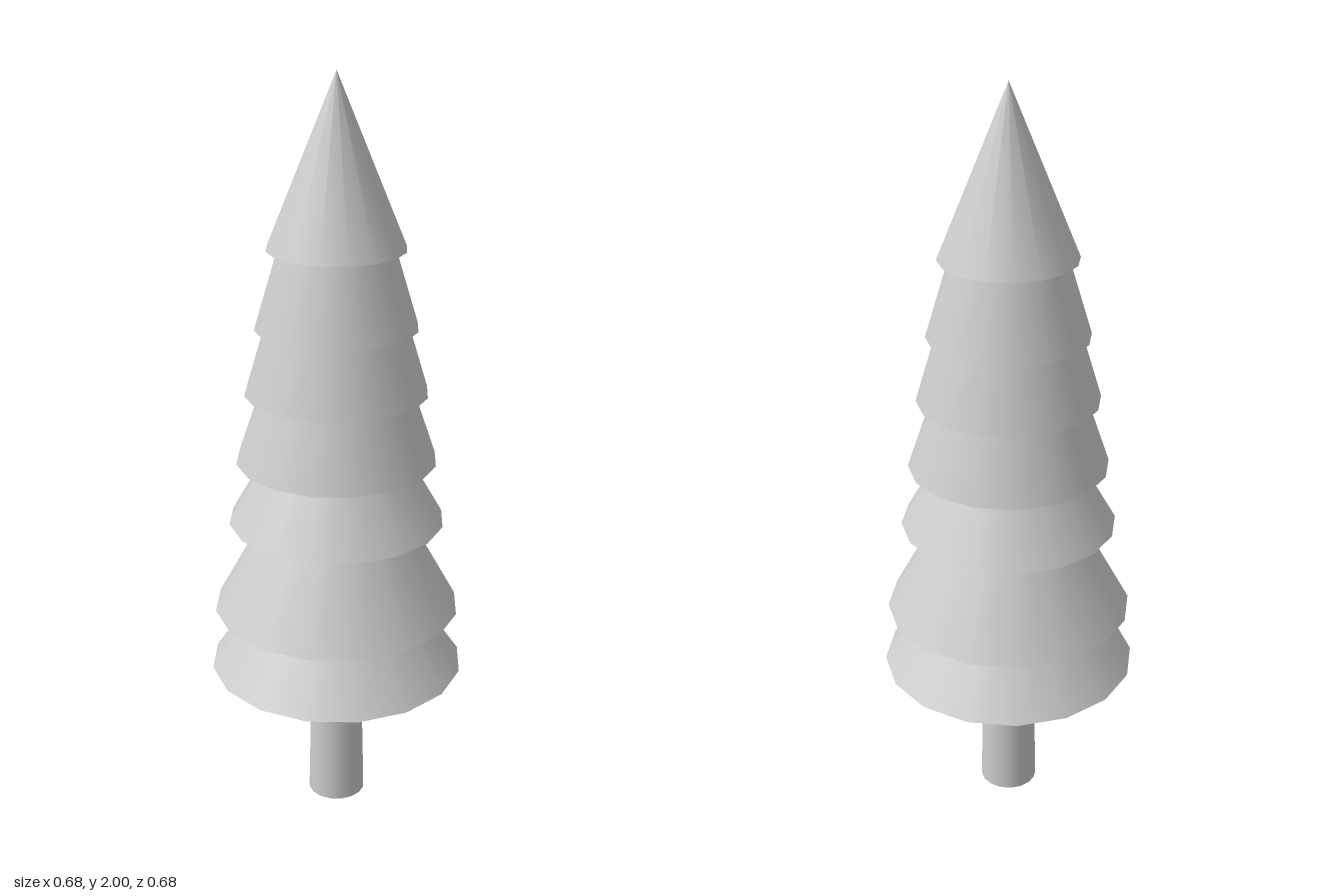
import * as THREE from 'three';

const SIDES = 16;

export function createModel() {
  const tree = new THREE.Group();
  tree.name = 'pineTree';

  const grey = new THREE.MeshStandardMaterial({ color: 0xcccccc });
  grey.name = 'plain grey';

  // Tapered round section standing between two heights
  const section = (name, y0, y1, bottom, top) => {
    const geometry = top > 0
      ? new THREE.CylinderGeometry(top, bottom, y1 - y0, SIDES)
      : new THREE.ConeGeometry(bottom, y1 - y0, SIDES);
    const mesh = new THREE.Mesh(geometry, grey);
    mesh.name = name;
    mesh.position.y = (y0 + y1) / 2;
    tree.add(mesh);
  };

  // Trunk with a slight taper, its top just inside the lowest tier
  section('trunk', 0, 0.44, 0.078, 0.068);

  // Skirts of foliage: [bottom height, bottom radius, top radius]
  const tiers = [
    [0.413, 0.341, 0.222],
    [0.585, 0.328, 0.19],
    [0.837, 0.285, 0.188],
    [1.007, 0.263, 0.2],
    [1.192, 0.238, 0.186],
    [1.365, 0.21, 0.149],
    [1.567, 0.178, 0],
  ];
  tiers.forEach(([y, bottom, top], i) => {
    const next = i + 1 < tiers.length ? tiers[i + 1][0] : 2;
    section(i + 1 < tiers.length ? `foliageTier${i + 1}` : 'treeTop', y, next, bottom, top);
  });

  return tree;
}
